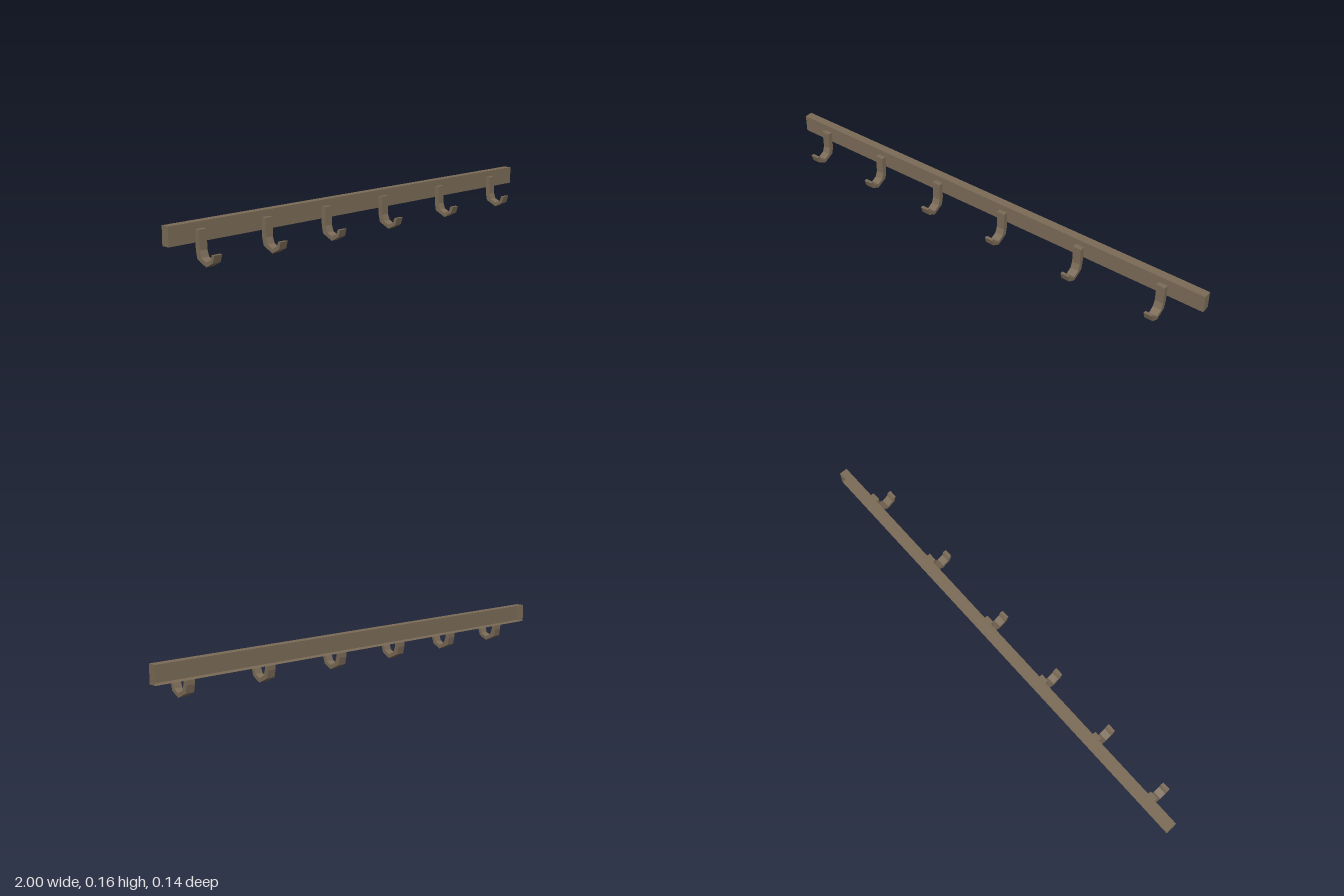
import * as THREE from 'three';

export function createModel() {
  const group = new THREE.Group();
  const brown = new THREE.MeshStandardMaterial({ color: 0x7b6b57, flatShading: true, side: THREE.DoubleSide });
  brown.name = 'weathered brown';

  // Rail: a thin-walled box whose back is open
  const railGeometry = new THREE.BoxGeometry(2, 0.074, 0.035);
  railGeometry.setIndex([...railGeometry.index.array].slice(0, 30));
  railGeometry.clearGroups();
  const rail = new THREE.Mesh(railGeometry, brown);
  rail.name = 'rail';
  rail.position.set(0, 0.12, -0.0505);
  group.add(rail);

  // Hook side profile as (z, y), swept across its width
  const profile = [
    [-0.033, 0.131], [-0.033, 0.056], [-0.026, 0.024], [0.022, 0.001],
    [0.058, 0.02], [0.068, 0.05], [0.054, 0.05], [0.047, 0.03],
    [0.022, 0.018], [-0.004, 0.031], [-0.013, 0.056], [-0.013, 0.131],
  ].map(([z, y]) => new THREE.Vector2(z, y));
  const width = 0.036;
  const hookGeometry = new THREE.ExtrudeGeometry(new THREE.Shape(profile), { depth: width, bevelEnabled: false });
  hookGeometry.translate(0, 0, -width / 2).rotateY(-Math.PI / 2);

  // Six unevenly spaced hooks
  [-0.864, -0.551, -0.238, 0.094, 0.459, 0.829].forEach((x, i) => {
    const hook = new THREE.Mesh(hookGeometry, brown);
    hook.name = `hook${i + 1}`;
    hook.position.x = x;
    group.add(hook);
  });

  return group;
}
